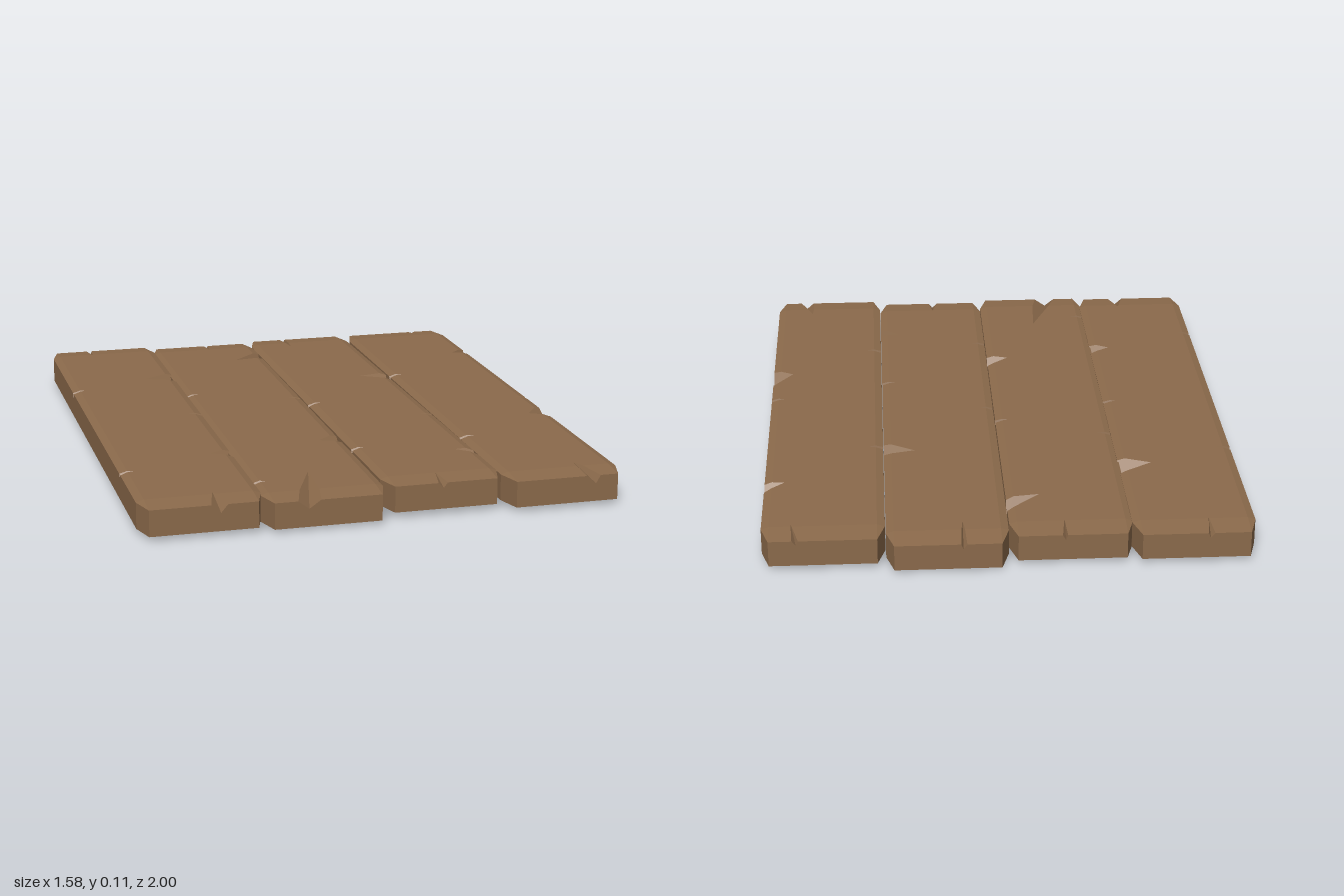
import * as THREE from 'three';

const V = (x, y, z) => new THREE.Vector3(x, y, z);

// Keep the part of a convex polygon on one side (+1 / -1) of a plane.
function clip(poly, plane, side) {
  const out = [];
  poly.forEach((p, i) => {
    const q = poly[(i + 1) % poly.length];
    const a = plane.distanceToPoint(p) * side, b = plane.distanceToPoint(q) * side;
    if (a >= 0) out.push(p);
    if ((a > 0 && b < 0) || (a < 0 && b > 0)) out.push(p.clone().lerp(q, a / (a - b)));
  });
  return out.length > 2 ? out : [];
}

// Large square lying on a plane, counter-clockwise about its normal.
function sheet(plane) {
  const n = plane.normal;
  const u = (Math.abs(n.y) > 0.7 ? V(1, 0, 0) : V(0, 1, 0)).cross(n).normalize();
  const v = n.clone().cross(u), o = n.clone().multiplyScalar(-plane.constant);
  return [[-1, -1], [1, -1], [1, 1], [-1, 1]].map(([a, b]) =>
    o.clone().addScaledVector(u, a * 4).addScaledVector(v, b * 4));
}

// The 26 planes of a box whose edges and corners are chamfered by bevel.
function chamferPlanes(h, bevel) {
  const planes = [];
  for (const x of [-1, 0, 1]) for (const y of [-1, 0, 1]) for (const z of [-1, 0, 1]) {
    const s = [x, y, z], k = Math.abs(x) + Math.abs(y) + Math.abs(z);
    if (!k) continue;
    const reach = s.reduce((t, c, i) => t + Math.abs(c) * h[i] / bevel[i], 0) - (k - 1);
    planes.push(new THREE.Plane(V(x / bevel[0], y / bevel[1], z / bevel[2]), -reach).normalize());
  }
  return planes;
}

// A V-shaped chip: two planes meeting on the line from its inner tip to its lowest point.
function chipPlanes(tip, low, a, b) {
  return [[a, b], [b, a]].map(([on, inside]) => {
    const p = new THREE.Plane().setFromCoplanarPoints(tip, low, on);
    return p.distanceToPoint(inside) < 0 ? p.negate() : p;
  });
}

// Chamfered plank with every chip carved out of it.
function plankGeometry(h, bevel, chips) {
  const hull = chamferPlanes(h, bevel);
  let faces = hull.map(p => hull.reduce((f, o) => (o === p ? f : clip(f, o, -1)), sheet(p)));
  for (const [p, q] of chips) {
    faces = faces.flatMap(f => [clip(f, p, -1), clip(clip(f, p, 1), q, -1)]);
    for (const [own, other] of [[p, q], [q, p]])
      faces.push(hull.reduce((f, o) => clip(f, o, -1), clip(sheet(own), other, 1)));
  }
  const pos = [];
  for (const f of faces)
    for (let i = 1; i < f.length - 1; i++)
      for (const v of [f[0], f[i], f[i + 1]]) pos.push(v.x, v.y, v.z);
  const g = new THREE.BufferGeometry();
  g.setAttribute('position', new THREE.Float32BufferAttribute(pos, 3));
  g.computeVertexNormals();
  return g;
}

// Small nick in a long edge
const nick = (edge, z, reach = 0.045) => [edge, z - 0.016, z + 0.012, z + 0.004, z, reach, 0.022];

// Chips: edge, start, end, lowest point, tip (along the edge), reach inwards, depth
const PLANKS = [
  { x: [-0.79, -0.395], z: [-0.985, 0.975], y: 0.01, tilt: 0, chips: [
    ['right', -0.565, -0.45, -0.505, -0.495, 0.11, 0.05],
    ['right', 0.43, 0.515, 0.48, 0.475, 0.07, 0.04],
    nick('right', 0), nick('left', -0.39), nick('left', 0.6),
    ['back', -0.655, -0.625, -0.635, -0.64, 0.09, 0.025],
    ['front', -0.58, -0.51, -0.54, -0.545, 0.1, 0.035]] },
  { x: [-0.4, -0.003], z: [-0.965, 0.995], y: 0.006, tilt: 0, chips: [
    ['right', -0.80, -0.71, -0.75, -0.695, 0.11, 0.05],
    ['right', 0.345, 0.435, 0.405, 0.41, 0.075, 0.04],
    nick('right', -0.125), nick('left', -0.25, 0.05), nick('left', 0.795, 0.05),
    ['back', -0.187, -0.163, -0.178, -0.18, 0.09, 0.025],
    ['front', -0.31, -0.215, -0.265, -0.2, 0.265, 0.035]] },
  { x: [0, 0.39], z: [-1, 0.955], y: 0.008, tilt: -0.006, chips: [
    ['right', -0.375, -0.285, -0.325, -0.35, 0.105, 0.05],
    ['right', 0.635, 0.7, 0.68, 0.64, 0.065, 0.035],
    nick('right', 0.205), nick('left', -0.025), nick('left', 0.54),
    ['back', 0.13, 0.158, 0.147, 0.145, 0.14, 0.025],
    ['front', 0.16, 0.205, 0.185, 0.185, 0.09, 0.025]] },
  { x: [0.392, 0.785], z: [-0.965, 0.995], y: 0.01, tilt: 0, chips: [
    ['right', -0.635, -0.565, -0.598, -0.575, 0.065, 0.045],
    ['right', 0.195, 0.335, 0.3, 0.295, 0.07, 0.045],
    nick('right', 0.08), nick('left', -0.32, 0.05), nick('left', 0.5, 0.05),
    ['back', 0.662, 0.692, 0.672, 0.69, 0.095, 0.025],
    ['front', 0.645, 0.705, 0.685, 0.655, 0.13, 0.035]] },
];

export function createModel() {
  const group = new THREE.Group();
  group.name = 'plankPanel';
  const wood = new THREE.MeshStandardMaterial({ color: 0x8b6a4b });
  wood.name = 'brown wood';

  PLANKS.forEach(({ x, z, y, tilt, chips }, i) => {
    const cx = (x[0] + x[1]) / 2, cz = (z[0] + z[1]) / 2;
    const h = [(x[1] - x[0]) / 2, 0.051, (z[1] - z[0]) / 2];
    const wedges = chips.map(([edge, start, end, low, tip, reach, depth]) => {
      const alongZ = edge === 'left' || edge === 'right';
      const s = edge === 'right' || edge === 'front' ? 1 : -1;
      const at = (t, inset, down) => alongZ
        ? V(s * (h[0] - inset), h[1] - down, t - cz)
        : V(t - cx, h[1] - down, s * (h[2] - inset));
      return chipPlanes(at(tip, reach, 0), at(low, 0, depth), at(start, 0, 0), at(end, 0, 0));
    });
    const mesh = new THREE.Mesh(plankGeometry(h, [0.025, 0.008, 0.085], wedges), wood);
    mesh.name = `plank${i + 1}`;
    mesh.position.set(cx, y + h[1], cz);
    mesh.rotation.x = tilt;
    group.add(mesh);
  });

  // Rest the lowest plank on the ground
  group.updateMatrixWorld(true);
  const drop = new THREE.Box3().setFromObject(group, true).min.y;
  for (const m of group.children) m.position.y -= drop;
  return group;
}
